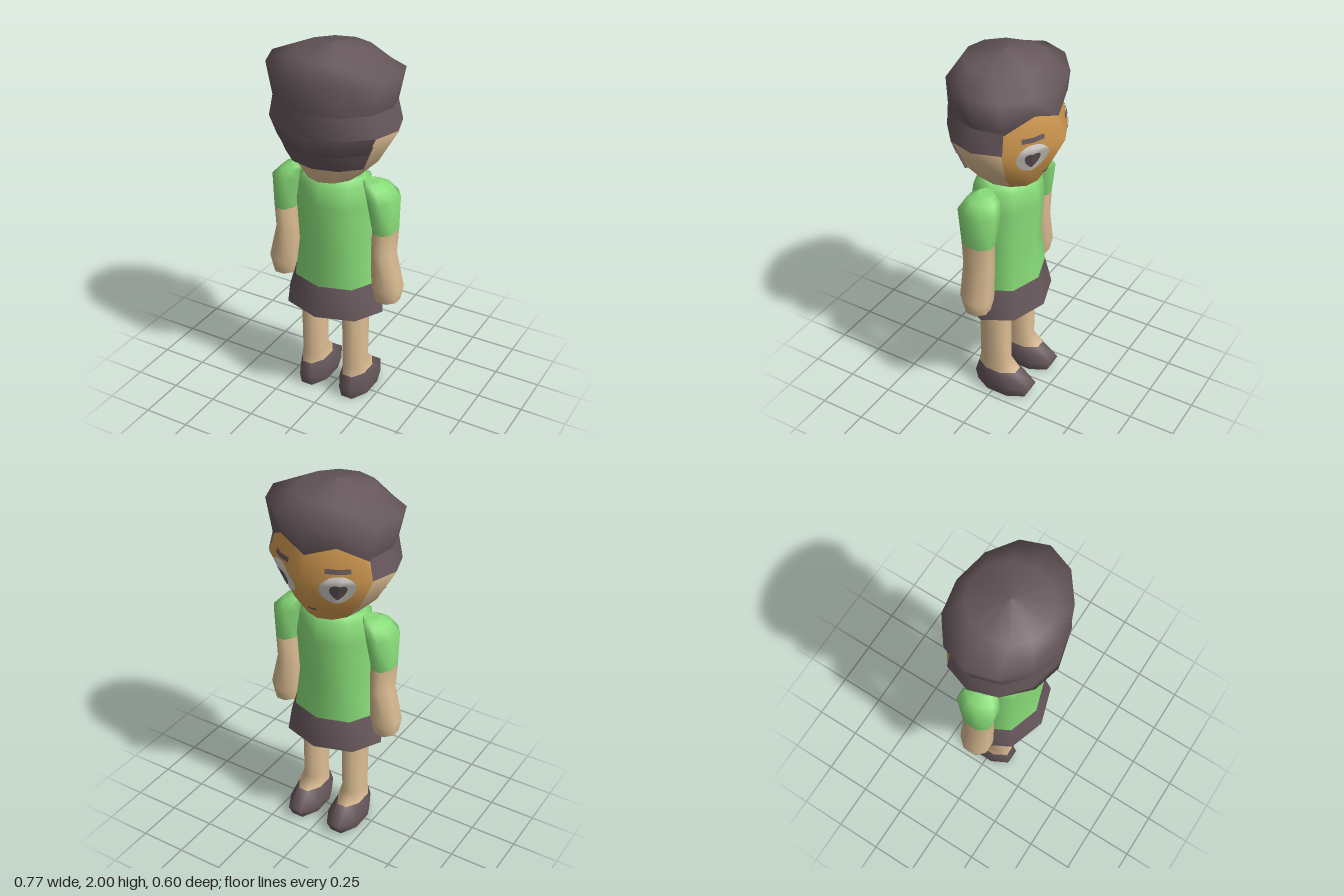
import * as THREE from 'three';

const mat = (name, color, side = THREE.FrontSide) =>
  Object.assign(new THREE.MeshStandardMaterial({ color, side }), { name });

// One ring of points, from column "from" to "to"; columns run from +x round by -z (the face side).
function ring([y, xc, zc, rx, rz, tip], n, { phase = 0, from = 0, to = n, heights } = {}) {
  const pts = [];
  for (let c = from; c <= to; c++) {
    const a = ((c + phase) / n) * Math.PI * 2;
    const p = new THREE.Vector3(xc + rx * Math.cos(a), y, zc - rz * Math.sin(a));
    if (tip !== undefined && c === n / 4) p.z = tip;
    if (heights) p.y = heights(c, a);
    pts.push(p);
  }
  return pts;
}

// Smooth skin over rows of points listed from top to bottom; optional flat caps.
function skin(rows, { capTop, capBottom, paint } = {}) {
  const cols = rows[0].length - 1;
  const closed = rows[0][0].distanceTo(rows[0][cols]) < 1e-4;
  const w = closed ? cols : cols + 1;
  const pos = [], groups = [[], []];
  rows.forEach((r) => r.slice(0, w).forEach((p) => pos.push(p.x, p.y, p.z)));
  for (let r = 0; r < rows.length - 1; r++)
    for (let c = 0; c < cols; c++) {
      const n = (c + 1) % w, a = r * w + c, b = r * w + n;
      groups[paint ? paint(c) : 0].push(a, a + w, b + w, a, b + w, b);
    }
  const cap = (row, up) => {
    const start = pos.length / 3, m = new THREE.Vector3();
    row.slice(0, w).forEach((p) => { pos.push(p.x, p.y, p.z); m.addScaledVector(p, 1 / w); });
    pos.push(m.x, m.y, m.z);
    for (let c = 0; c < w; c++) {
      const i = start + c, j = start + ((c + 1) % w);
      groups[0].push(start + w, up ? i : j, up ? j : i);
    }
  };
  if (capTop) cap(rows[0], true);
  if (capBottom) cap(rows[rows.length - 1], false);
  const g = new THREE.BufferGeometry();
  g.setAttribute('position', new THREE.Float32BufferAttribute(pos, 3));
  g.setIndex([...groups[0], ...groups[1]]);
  if (paint) {
    g.addGroup(0, groups[0].length, 0);
    g.addGroup(groups[0].length, groups[1].length, 1);
  }
  g.computeVertexNormals();
  return g;
}

export function createModel() {
  const model = new THREE.Group();
  model.name = 'figure';
  const tan = mat('skin', 0xdcbd93);
  const orange = mat('face', 0xd59c52);
  const dark = mat('darkBrown', 0x66575b, THREE.DoubleSide);
  const green = mat('shirt', 0x88dc78);
  const white = mat('eyeWhite', 0xd8d4cc);
  const add = (name, geo, material, parent = model) => {
    const m = new THREE.Mesh(geo, material);
    m.name = name;
    parent.add(m);
    return m;
  };
  const loft = (rings, n, opt = {}) => skin(rings.map((r) => ring(r, n, opt)), opt);

  // Head, with the four front columns in the face colour
  const headRings = [
    [1.8, 0, 0.01, 0.27, 0.235, -0.215],
    [1.6, 0, 0.01, 0.345, 0.265, -0.3],
    [1.42, 0, 0.015, 0.24, 0.215, -0.21],
    [1.32, 0, 0.02, 0.14, 0.17, -0.15],
  ].map((r) => ring(r, 12));
  add('head', skin(headRings, { capTop: true, capBottom: true, paint: (c) => (c >= 1 && c < 5 ? 1 : 0) }), [tan, orange]);

  // Point on the head surface at column t and height y
  const onHead = (t, y, out) => {
    const c = Math.floor(t);
    let r = 0;
    while (r < headRings.length - 2 && y < headRings[r + 1][0].y) r++;
    const k = (headRings[r][0].y - y) / (headRings[r][0].y - headRings[r + 1][0].y);
    const row = (q) => q[c].clone().lerp(q[c + 1], t - c);
    const p = row(headRings[r]).lerp(row(headRings[r + 1]), k);
    return p.set(p.x * out, y, p.z * out);
  };
  // Flat geometry wrapped onto the head
  const decal = (name, geo, t, y, w, h, out, material, bend = 0) => {
    const a = geo.attributes.position;
    for (let i = 0; i < a.count; i++) {
      const u = a.getX(i), v = a.getY(i) + bend * Math.abs(u);
      const p = onHead(t + u * w, y + v * h, out);
      a.setXYZ(i, p.x, p.y, p.z);
    }
    geo.computeVertexNormals();
    add(name, geo, material);
  };
  const disc = () => new THREE.RingGeometry(0.001, 1, 24, 5);
  for (const [side, t] of [['right', 2], ['left', 4]]) {
    decal(side + 'Eye', disc(), t, 1.548, 0.55, 0.085, 1.02, white);
    decal(side + 'Pupil', disc(), t, 1.535, 0.26, 0.045, 1.035, dark, 0.45);
    decal(side + 'Brow', new THREE.PlaneGeometry(2, 2, 8, 1), t, 1.655, 0.38, 0.012, 1.02, dark);
  }
  decal('mouth', new THREE.PlaneGeometry(2, 2, 6, 1), 3, 1.4, 0.22, 0.007, 1.02, dark);

  // Hair: crown with a zigzag fringe, sides, rolled back edge and nape
  const fringe = [1.72, 1.7, 1.78, 1.72, 1.78, 1.7];
  const mid = [1.72, 0, 0.02, 0.315, 0.28];
  const low = [1.605, 0, 0.015, 0.345, 0.285];
  add('hairCrown', skin([
    ring([2, 0, 0.03, 0.002, 0.002], 12),
    ring([1.955, 0, 0.03, 0.2, 0.21], 12),
    ring([0, 0, 0.017, 0.36, 0.275], 12, { heights: (c, a) => 1.86 + 0.03 * Math.cos(a) ** 2 }),
    ring(mid, 12, { heights: (c) => fringe[c % 12] ?? 1.72 }),
  ], { capTop: true }), dark);
  add('hairSides', loft([mid, low], 12, { from: 5, to: 13 }), dark);
  add('hairRoll', loft([low, [1.515, 0, 0.015, 0.295, 0.285], [1.535, 0, 0.015, 0.25, 0.22]], 12, { from: 7, to: 11 }), dark);
  add('hairNape', loft([[1.56, 0, 0.015, 0.325, 0.268], [1.42, 0, 0.015, 0.255, 0.236], [1.42, 0, 0.015, 0.23, 0.2]], 12, { from: 7, to: 11 }), dark);

  // Shirt and skirt
  add('shirt', loft([
    [1.32, 0, 0.02, 0.165, 0.125], [1.29, 0, 0.02, 0.2, 0.165], [1.18, 0, 0.02, 0.215, 0.183],
    [0.94, 0, 0.02, 0.205, 0.165], [0.72, 0, 0.018, 0.237, 0.183],
  ], 8, { capTop: true }), green);
  add('skirt', loft([[0.72, 0, 0.018, 0.238, 0.184], [0.555, 0, 0.02, 0.285, 0.22]], 8, { capBottom: true }), dark);

  // Arms and legs, one of each per side; half-step octagons put flat sides outward
  const flat = 1 / Math.cos(Math.PI / 8);
  for (const [side, s] of [['left', 1], ['right', -1]]) {
    const limb = (name, rings, material, opt) =>
      add(side + name, loft(rings.map(([y, x, z, rx, rz]) => [y, s * x, z, rx * flat, rz * flat]), 8, { phase: 0.5, ...opt }), material);
    limb('Sleeve', [
      [1.31, 0.21, 0.02, 0.04, 0.04], [1.29, 0.24, 0.02, 0.06, 0.08],
      [1.235, 0.275, 0.02, 0.075, 0.107], [1.055, 0.29, 0.02, 0.06, 0.083],
    ], green, { capTop: true });
    limb('Forearm', [
      [1.055, 0.29, 0.02, 0.06, 0.083], [0.92, 0.285, 0.02, 0.057, 0.08],
      [0.73, 0.31, 0.02, 0.077, 0.083], [0.65, 0.31, 0.02, 0.062, 0.065],
    ], tan, { capBottom: true });
    limb('Leg', [
      [0.57, 0.125, 0.022, 0.065, 0.083], [0.2, 0.125, 0.022, 0.06, 0.083], [0.14, 0.127, 0, 0.068, 0.115],
    ], tan);
    limb('Shoe', [
      [0.14, 0.127, 0, 0.068, 0.115], [0.065, 0.125, -0.037, 0.09, 0.172], [0, 0.127, -0.028, 0.078, 0.15],
    ], dark, { capBottom: true });
  }
  return model;
}
